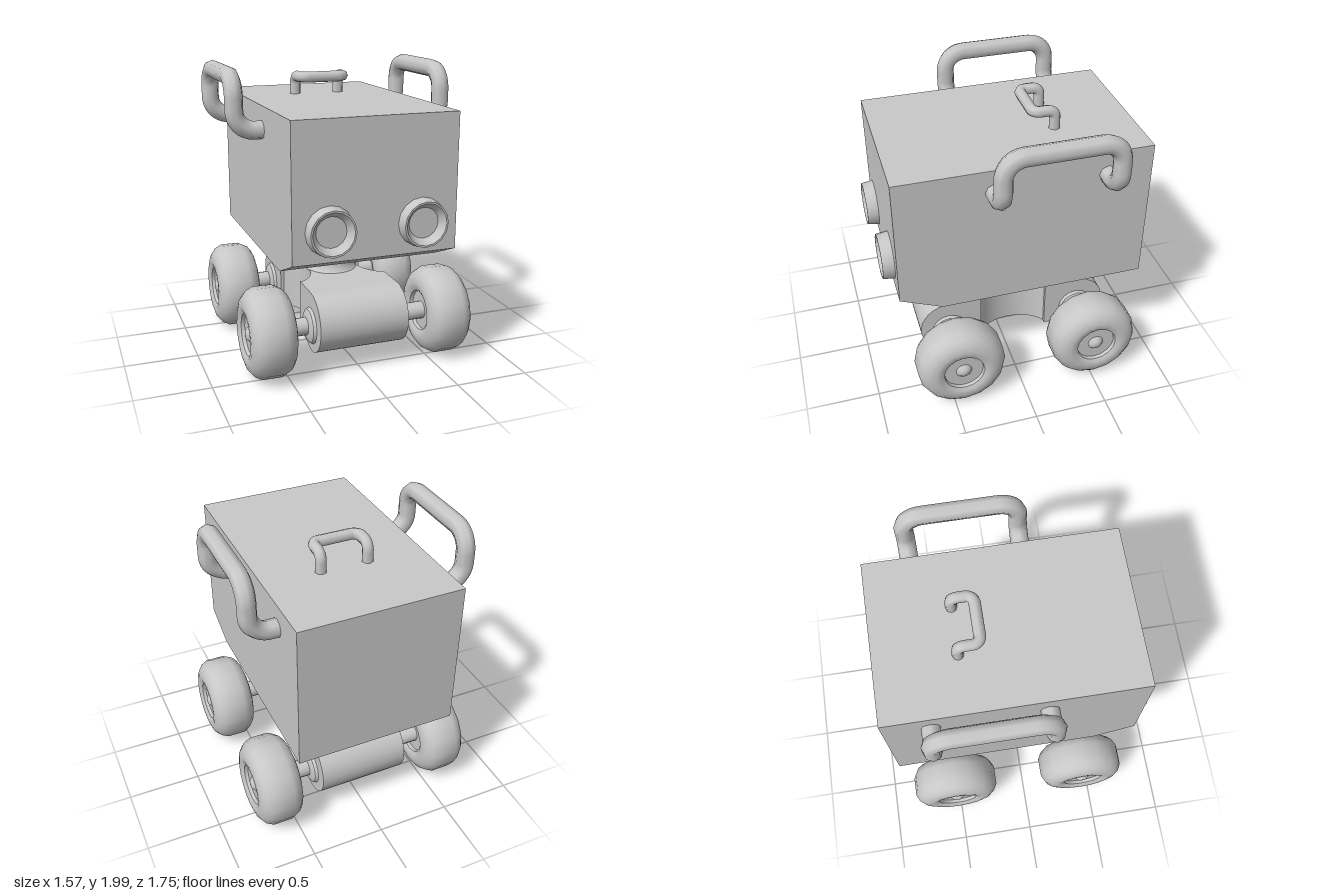
import * as THREE from 'three';
import { toCreasedNormals } from 'three/addons/utils/BufferGeometryUtils.js';

const grey = new THREE.MeshStandardMaterial({ color: 0xc8c8c8 });
grey.name = 'light grey';

const v2 = ([x, y]) => new THREE.Vector2(x, y);
const v3 = (a) => new THREE.Vector3(...a);

function part(name, geometry, parent) {
  const mesh = new THREE.Mesh(geometry, grey);
  mesh.name = name;
  parent.add(mesh);
  return mesh;
}

// Turned part from [radius, height] pairs
const turned = (profile, segments) =>
  toCreasedNormals(new THREE.LatheGeometry(profile.map(v2), segments), 0.65);

// Side outline in (z, y), extruded across x and centred
function sideExtrude(shape, width) {
  const g = new THREE.ExtrudeGeometry(shape, { depth: width, bevelEnabled: false, curveSegments: 8 });
  g.rotateY(-Math.PI / 2).translate(width / 2, 0, 0);
  return toCreasedNormals(g, 0.5);
}

// Bent tube through corner points, with rounded corners
function bentTube(points, bend, radius, segments) {
  const pts = points.map(v3);
  const path = new THREE.CurvePath();
  let start = pts[0];
  for (let i = 1; i < pts.length - 1; i++) {
    const p = pts[i];
    const a = p.clone().add(pts[i - 1].clone().sub(p).setLength(bend));
    const b = p.clone().add(pts[i + 1].clone().sub(p).setLength(bend));
    path.add(new THREE.LineCurve3(start, a));
    path.add(new THREE.CubicBezierCurve3(a, a.clone().lerp(p, 0.55), b.clone().lerp(p, 0.55), b));
    start = b;
  }
  path.add(new THREE.LineCurve3(start, pts[pts.length - 1]));
  return new THREE.TubeGeometry(path, segments, radius, 8, false);
}

export function createModel() {
  const model = new THREE.Group();
  model.name = 'boxyRover';

  // Body with sloped front underside
  const outline = new THREE.Shape(
    [[-0.875, 0.75], [0.52, 0.75], [0.8, 0.87], [0.8, 1.755], [-0.875, 1.755]].map(v2));
  part('body', sideExtrude(outline, 1.09), model);

  // Eye-like lamps with a dished front
  const lamp = turned([[0.16, 0], [0.148, 0.08], [0.136, 0.08], [0.1, 0.03], [0, 0.03]], 16)
    .rotateX(Math.PI / 2);
  for (const s of [-1, 1]) {
    part(s > 0 ? 'leftLamp' : 'rightLamp', lamp, model).position.set(s * 0.305, 1.07, 0.797);
  }

  // Side rails
  for (const s of [-1, 1]) {
    const x = s * 0.726;
    part(s > 0 ? 'leftRail' : 'rightRail', bentTube([
      [s * 0.53, 1.597, 0.165], [x, 1.597, 0.165], [x, 1.938, 0.165],
      [x, 1.938, -0.575], [x, 1.597, -0.575], [s * 0.53, 1.597, -0.575],
    ], 0.13, 0.061, 64), model);
  }

  // Top handle
  part('topHandle', bentTube([
    [-0.16, 1.74, -0.345], [-0.16, 1.882, -0.345], [-0.16, 1.882, -0.2],
    [0.16, 1.882, -0.2], [0.16, 1.882, -0.345], [0.16, 1.74, -0.345],
  ], 0.05, 0.038, 56), model);

  // Undercarriage, symmetric front to back about its own centre
  const under = new THREE.Group();
  under.name = 'undercarriage';
  under.position.z = -0.04;
  model.add(under);

  part('turntable', new THREE.CylinderGeometry(0.38, 0.38, 0.03, 32).translate(0, 0.742, 0), under);
  part('neck', turned([[0.185, 0.535], [0.165, 0.555], [0.155, 0.6], [0.155, 0.69],
    [0.18, 0.71], [0.19, 0.735]], 20), under);

  // Waist block with concave sides
  const waist = new THREE.Shape();
  waist.moveTo(-0.3, -0.25);
  waist.lineTo(0.3, -0.25);
  waist.bezierCurveTo(0.13, -0.16, 0.13, 0.16, 0.3, 0.25);
  waist.lineTo(-0.3, 0.25);
  waist.bezierCurveTo(-0.13, 0.16, -0.13, -0.16, -0.3, -0.25);
  const waistGeo = new THREE.ExtrudeGeometry(waist, { depth: 0.36, bevelEnabled: false, curveSegments: 12 });
  part('waist', toCreasedNormals(waistGeo.rotateX(-Math.PI / 2).translate(0, 0.18, 0), 0.5), under);

  // Axle housing: rounded outside, flat inside
  const housing = new THREE.Shape();
  housing.moveTo(0.24, 0.18);
  housing.lineTo(0.3, 0.18);
  housing.lineTo(0.475, 0.13);
  housing.absarc(0.475, 0.335, 0.205, -Math.PI / 2, Math.PI / 2, false);
  housing.lineTo(0.24, 0.54);
  const housingGeo = sideExtrude(housing, 0.62);

  // Half axle with boss, and wheel
  const axleGeo = turned([[0.125, 0], [0.115, 0.022], [0.09, 0.035], [0.06, 0.038], [0.06, 0.26]], 16)
    .rotateZ(-Math.PI / 2);
  const tyreHalf = [[0.135, 0.115], [0.14, 0.138], [0.165, 0.152], [0.2, 0.154],
    [0.245, 0.14], [0.28, 0.112], [0.304, 0.065]];
  const hubHalf = [[0, 0.145], [0.03, 0.14], [0.055, 0.115]];
  const half = [...hubHalf, ...tyreHalf];
  const wheelGeo = turned([
    ...half.map(([r, h]) => [r, -h]),
    ...half.slice().reverse(),
  ], 16).rotateZ(-Math.PI / 2);

  for (const end of ['front', 'rear']) {
    const axle = new THREE.Group();
    axle.name = end + 'Axle';
    axle.rotation.y = end === 'front' ? 0 : Math.PI;
    under.add(axle);
    part(end + 'Housing', housingGeo, axle);
    for (const s of [-1, 1]) {
      const side = new THREE.Group();
      side.name = end + 'WheelAssembly';
      side.position.set(0, 0.31, 0.475);
      side.rotation.y = s > 0 ? 0 : Math.PI;
      axle.add(side);
      part('halfAxle', axleGeo, side).position.x = 0.308;
      part('wheel', wheelGeo, side).position.x = 0.615;
    }
  }
  return model;
}
